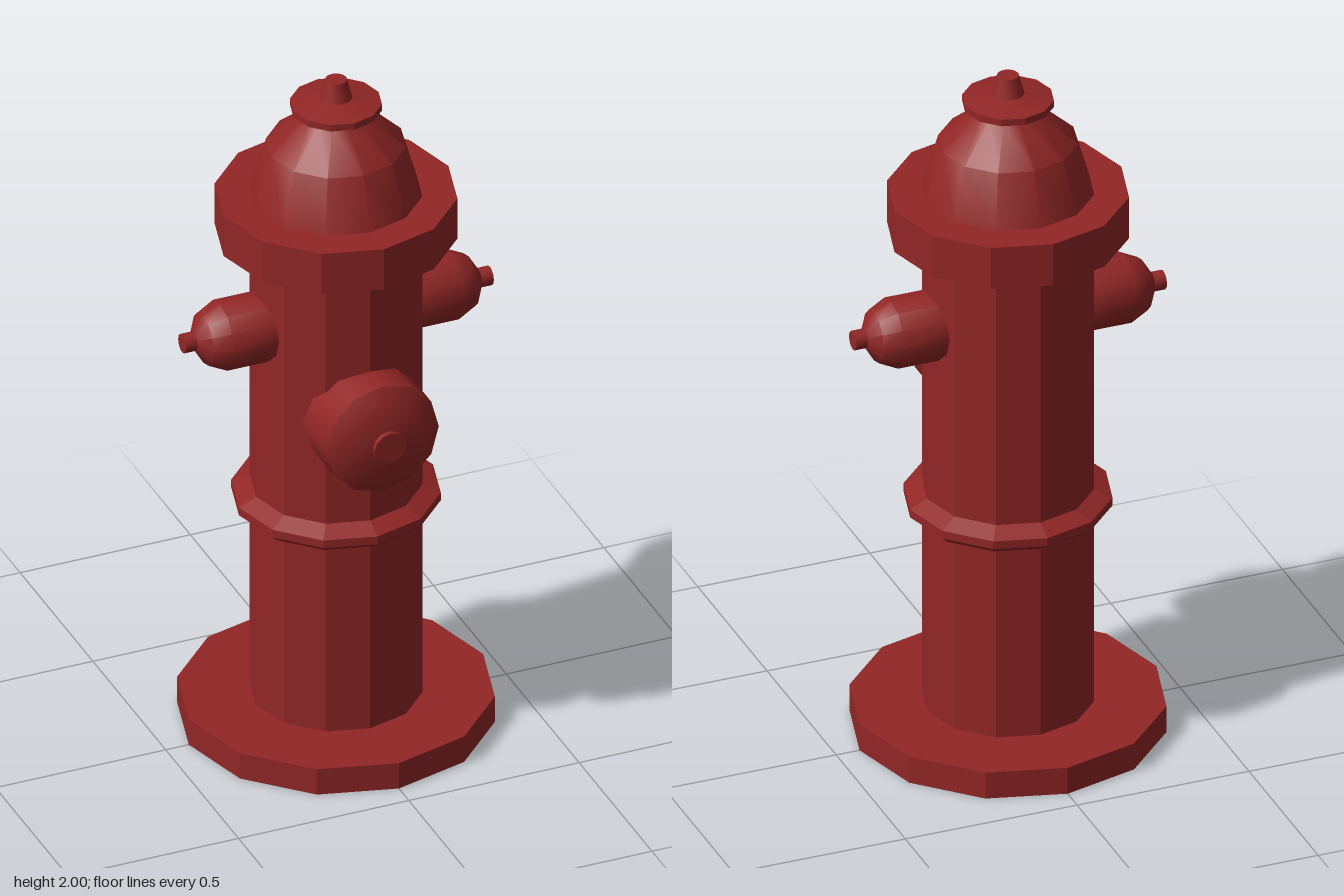
import * as THREE from 'three';
import { toCreasedNormals } from 'three/addons/utils/BufferGeometryUtils.js';

const SIDES = 12;
const FLAT = 0.2;    // every facet keeps its own edge
const SMOOTH = 0.65; // only strong bends stay sharp

export function createModel() {
  const model = new THREE.Group();
  const redPaint = new THREE.MeshStandardMaterial({ color: 0x922626, side: THREE.DoubleSide });
  redPaint.name = 'redPaint';

  // Turned part from [radius, height] pairs, listed bottom to top
  function turned(name, profile, crease, parent = model) {
    const points = profile.map(([r, y]) => new THREE.Vector2(r, y));
    const geometry = toCreasedNormals(new THREE.LatheGeometry(points, SIDES), crease);
    const mesh = new THREE.Mesh(geometry, redPaint);
    mesh.name = name;
    parent.add(mesh);
    return mesh;
  }

  // Base plate, hollow underneath and open into the barrel
  turned('basePlate', [[0.432, 0], [0.432, 0.08], [0.235, 0.08]], FLAT);
  turned('barrel', [[0.235, 0.08], [0.235, 1.52]], FLAT);
  turned('barrelRing', [
    [0.235, 0.672], [0.265, 0.672], [0.285, 0.69], [0.285, 0.714], [0.235, 0.737],
  ], FLAT);

  // Top flange, dome and cap
  turned('topFlange', [[0.235, 1.52], [0.33, 1.52], [0.33, 1.647], [0.235, 1.647]], FLAT);
  turned('dome', [[0.235, 1.647], [0.19, 1.8], [0.08, 1.893]], SMOOTH);
  turned('cap', [[0.08, 1.893], [0.125, 1.91], [0.125, 1.93], [0.045, 1.945]], FLAT);
  turned('capNut', [[0.045, 1.945], [0.03, 2], [0, 2]], SMOOTH);

  // Side outlets, turned along their own axis and mirrored
  for (const [side, sign] of [['left', 1], ['right', -1]]) {
    const outlet = new THREE.Group();
    outlet.name = side + 'Outlet';
    outlet.position.y = 1.272;
    outlet.rotation.z = -sign * Math.PI / 2;
    turned(side + 'OutletBody', [
      [0.098, 0.2], [0.098, 0.34], [0.074, 0.39], [0.027, 0.418],
    ], SMOOTH, outlet);
    turned(side + 'OutletNut', [[0.027, 0.41], [0.027, 0.452], [0, 0.452]], SMOOTH, outlet);
    model.add(outlet);
  }

  // Large front outlet
  const front = new THREE.Group();
  front.name = 'frontOutlet';
  front.position.y = 1.043;
  front.rotation.x = Math.PI / 2;
  turned('frontOutletBody', [
    [0.165, 0.16], [0.165, 0.32], [0.115, 0.353], [0.047, 0.362],
  ], SMOOTH, front);
  turned('frontOutletNut', [[0.047, 0.355], [0.047, 0.376], [0, 0.376]], SMOOTH, front);
  model.add(front);

  return model;
}
